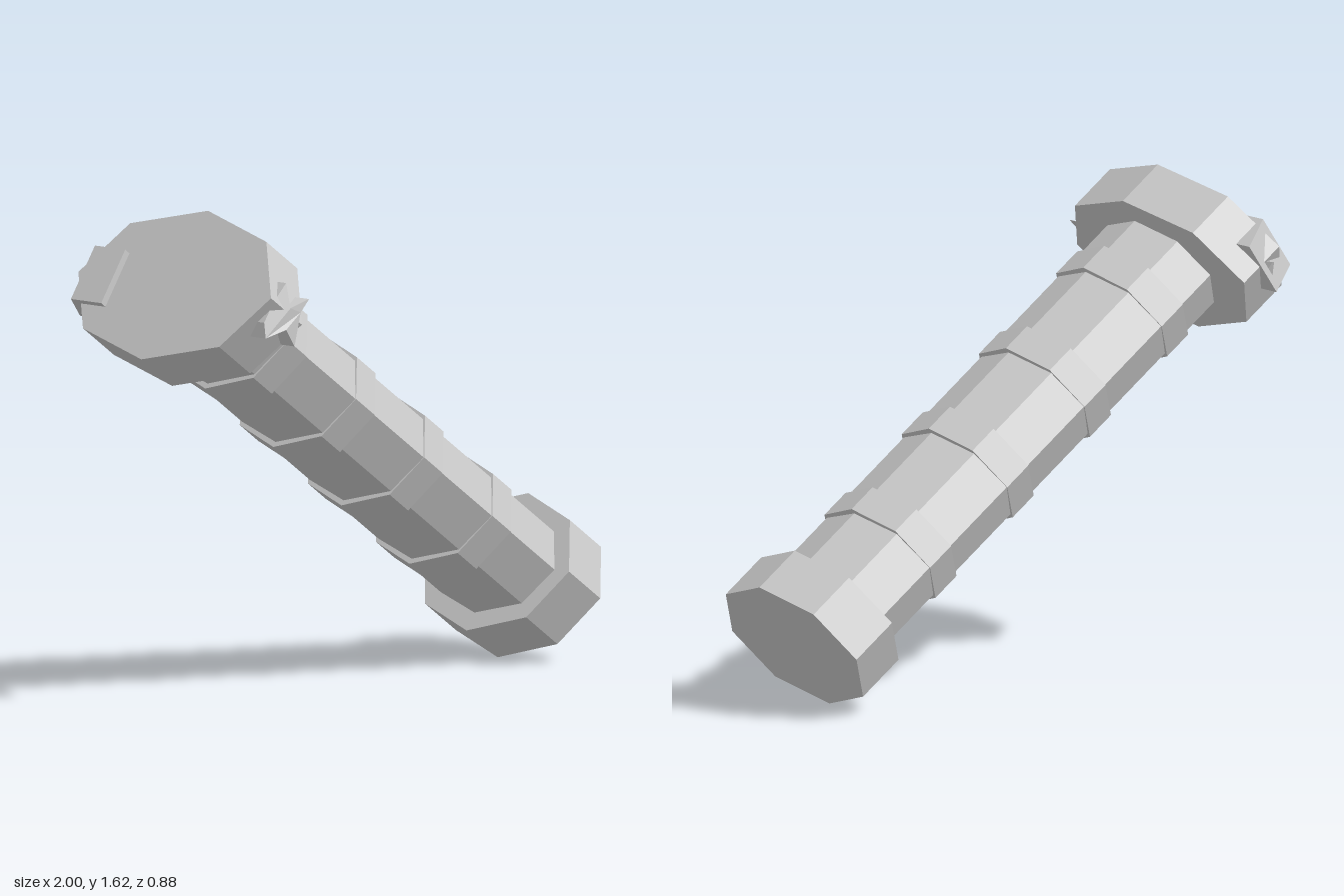
import * as THREE from 'three';

const mat = new THREE.MeshStandardMaterial({ color: 0xcccccc, flatShading: true });

// Flattened octagonal prism lying along local x
function prism(name, start, length, halfHeight, halfDepth) {
  const g = new THREE.CylinderGeometry(1, 1, length, 8);
  g.rotateZ(-Math.PI / 2);
  g.scale(1, halfHeight, halfDepth);
  g.translate(start + length / 2, 0, 0);
  const m = new THREE.Mesh(g, mat);
  m.name = name;
  return m;
}

// Lug standing out of the head, its outer face sloping along x
function lug(name, points, side, hole) {
  const shape = new THREE.Shape(points.map(p => new THREE.Vector2(...p)));
  if (hole) shape.holes.push(new THREE.Path(hole.map(p => new THREE.Vector2(...p))));
  const g = new THREE.ExtrudeGeometry(shape, { depth: 1, bevelEnabled: false });
  const pos = g.attributes.position;
  for (let i = 0; i < pos.count; i++) {
    const t = THREE.MathUtils.clamp((pos.getX(i) + 0.025) / 0.125, 0, 1);
    const outer = 0.385 + 0.055 * t;
    const isOuter = (pos.getZ(i) > 0.5) === (side > 0);
    pos.setZ(i, side * (isOuter ? outer : 0.25));
  }
  g.computeVertexNormals();
  const m = new THREE.Mesh(g, mat);
  m.name = name;
  return m;
}

export function createModel() {
  const model = new THREE.Group();
  model.name = 'bolt';
  const body = new THREE.Group();
  body.name = 'tiltedBody';

  // Shaft with a wide head and a smaller end cap
  body.add(prism('head', 0, 0.18, 0.278, 0.43));
  body.add(prism('shaft', 0.1, 1.85, 0.19, 0.255));
  body.add(prism('endCap', 1.881, 0.182, 0.257, 0.32));

  // Raised bands
  for (let i = 0; i < 4; i++) {
    body.add(prism('band' + (i + 1), 0.324 + 0.397 * i, 0.108, 0.209, 0.258));
  }

  // Notched front lug and square rear lug
  body.add(lug('frontLug', [
    [0.048, 0.082], [0.036, -0.0], [0.036, -0.074], [0.061, -0.118],
    [0.114, -0.055], [0.18, -0.08], [0.142, 0.026], [0.152, 0.082], [0.094, 0.015],
  ], 1));
  body.add(lug('rearLug',
    [[-0.025, -0.11], [0.1, -0.11], [0.1, 0.09], [-0.025, 0.09]], -1,
    [[0.035, -0.04], [0.075, 0.0], [0.075, -0.06]]));

  body.position.set(-0.84, 1.398, 0);
  body.rotation.z = THREE.MathUtils.degToRad(-35);
  model.add(body);
  return model;
}
